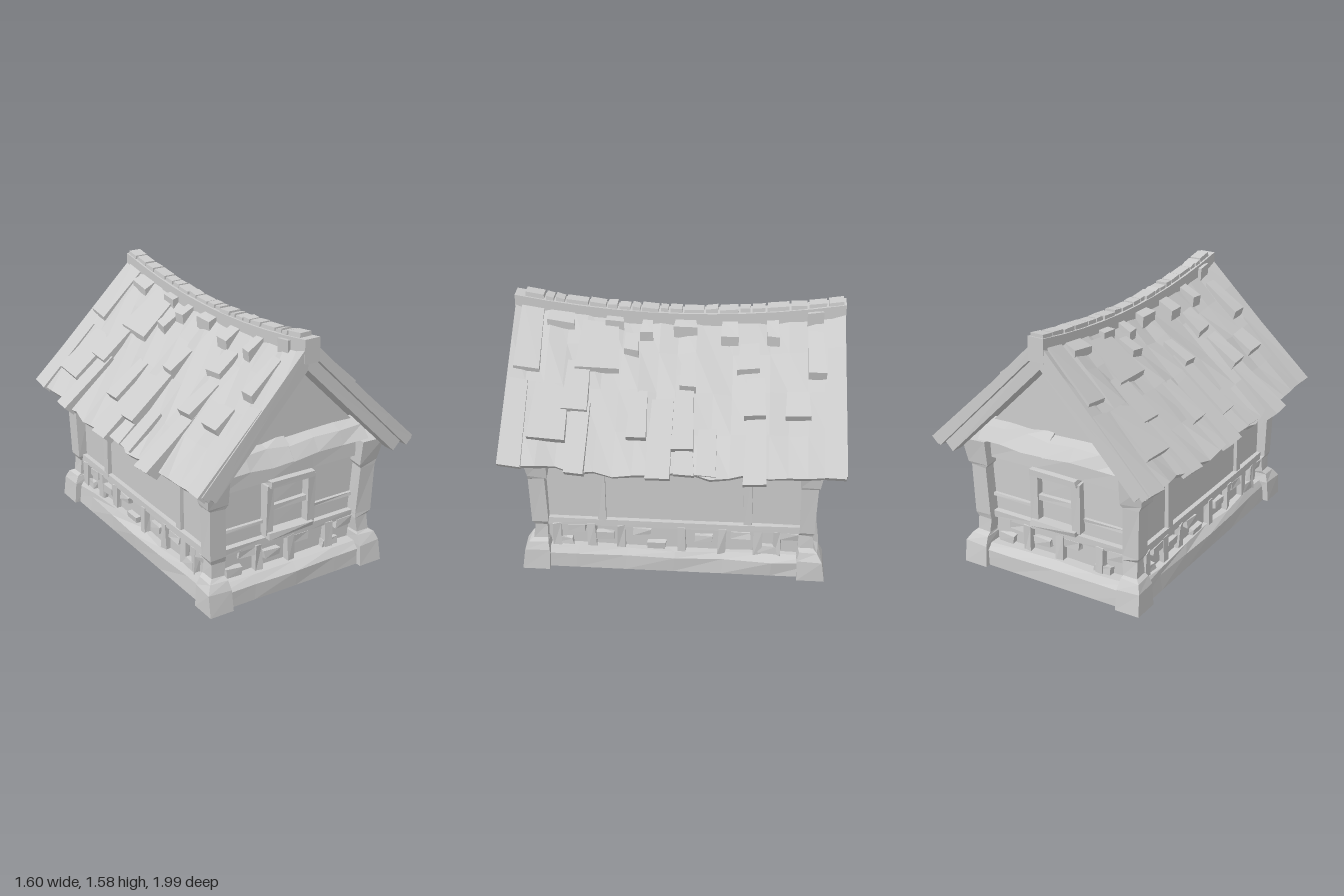
import * as THREE from 'three';

const mat = new THREE.MeshStandardMaterial({ color: 0xcccccc, flatShading: true });

// repeatable wobble in -0.5..0.5, equal for equal positions
function wobble(x, y, z) {
  const s = Math.sin(x * 127.1 + y * 311.7 + z * 74.7 + 3.1) * 43758.5453;
  return s - Math.floor(s) - 0.5;
}

// segmented unit box whose corners (each 0..1) are placed by a rule
function shaped(parent, name, segs, rule) {
  const box = new THREE.BoxGeometry(1, 1, 1, ...segs);
  const p = box.attributes.position;
  for (let i = 0; i < p.count; i++) {
    p.setXYZ(i, ...rule(p.getX(i) + 0.5, p.getY(i) + 0.5, p.getZ(i) + 0.5));
  }
  const geo = box.toNonIndexed();
  geo.computeVertexNormals();
  const mesh = new THREE.Mesh(geo, mat);
  mesh.name = name;
  parent.add(mesh);
  return mesh;
}

const mix = THREE.MathUtils.lerp;

// hewn block between two corners
function block(parent, name, x0, x1, y0, y1, z0, z1, rough = 0.01, segs = [1, 1, 1]) {
  return shaped(parent, name, segs, (a, b, c) => {
    const x = mix(x0, x1, a), y = mix(y0, y1, b), z = mix(z0, z1, c);
    return [x + rough * wobble(x, y, z), y + rough * wobble(y, z, x), z + rough * wobble(z, x, y)];
  });
}

// point on the sagging right slope: u from ridge to eave, h above the surface
function slope(u, h, z) {
  const ridgeY = 1.45 + 0.085 * z * z;
  const eaveY = 0.785 + 0.02 * z * z;
  return [0.72 * u + h * 0.715 * u, mix(ridgeY, eaveY, u) + h * mix(1.4, 0.7, u), z * (0.96 + 0.035 * u)];
}

// corner post outline: height, outer x, outer z, inner x, inner z
const postRings = [
  [0, 0.61, 0.91, 0.455, 0.745], [0.13, 0.605, 0.895, 0.46, 0.74], [0.185, 0.585, 0.865, 0.465, 0.75],
  [0.2, 0.555, 0.84, 0.465, 0.75], [0.29, 0.548, 0.832, 0.46, 0.75], [0.32, 0.565, 0.84, 0.46, 0.75],
  [0.63, 0.575, 0.845, 0.475, 0.75], [0.655, 0.59, 0.855, 0.46, 0.74], [0.8, 0.615, 0.875, 0.46, 0.73],
];

function cornerPost(parent, zSign) {
  const n = postRings.length - 1;
  shaped(parent, 'cornerPost', [1, n, 1], (a, b, c) => {
    const [y, xo, zo, xi, zi] = postRings[Math.round(b * n)];
    const x = mix(xi, xo, a);
    const z = zSign > 0 ? mix(zi, zo, c) : -mix(zo, zi, c);
    const k = y > 0 ? 0.012 : 0;
    return [x + k * wobble(x, y, z), y + k * wobble(z, y, x), z + k * wobble(y, x, z)];
  });
}

// front wall timbers, window and stones
function frontWall(parent) {
  const g = new THREE.Group();
  g.name = 'endWall';
  parent.add(g);
  block(g, 'topBeam', -0.48, 0.48, 0.69, 0.82, 0.75, 0.805, 0.008, [3, 1, 1]);
  block(g, 'lowerRail', -0.48, 0.48, 0.29, 0.335, 0.75, 0.8, 0.006, [3, 1, 1]);
  for (const s of [-1, 1]) {
    block(g, 'midRail', s * 0.32 - 0.15, s * 0.32 + 0.15, 0.425, 0.445, 0.75, 0.785, 0.005);
  }
  // rough ledge beam below the gable, leaning inwards
  for (const [x0, x1, top] of [[-0.49, -0.03, 0.93], [-0.04, 0.49, 0.925]]) {
    shaped(g, 'gableBeam', [3, 1, 1], (a, b, c) => {
      const x = mix(x0, x1, a);
      const y = b ? top - 0.035 * c + 0.025 * wobble(x, 1, c) : 0.82 + 0.015 * wobble(x, 0, c);
      return [x, y, c ? (b ? 0.825 : 0.88) + 0.02 * wobble(x, b, 2) : 0.74];
    });
  }
  // window
  for (const x of [-0.15, 0.135]) block(g, 'windowSide', x - 0.025, x + 0.025, 0.36, 0.67, 0.75, 0.82, 0.015);
  block(g, 'windowHead', -0.16, 0.15, 0.655, 0.695, 0.75, 0.84, 0.012);
  block(g, 'windowSill', -0.17, 0.145, 0.335, 0.37, 0.75, 0.84, 0.012);
  block(g, 'windowCrossbar', -0.13, 0.115, 0.5, 0.53, 0.75, 0.805, 0.008);
  for (const y of [0.44, 0.585]) block(g, 'windowPane', -0.115, 0.105, y - 0.06, y + 0.06, 0.75, 0.778, 0.006);
  // short studs and stones
  for (const x of [-0.22, 0.015, 0.29]) block(g, 'stud', x - 0.025, x + 0.025, 0.12, 0.3, 0.75, 0.81, 0.015);
  for (const [x, y] of [[-0.29, 0.27], [-0.12, 0.22], [0.09, 0.26], [0.4, 0.27], [-0.38, 0.17], [0.3, 0.16]]) {
    block(g, 'stone', x - 0.055, x + 0.055, y - 0.024, y + 0.024, 0.75, 0.8, 0.015);
  }
}

// long wall timbers and stones
function sideWall(parent) {
  const g = new THREE.Group();
  g.name = 'longWall';
  parent.add(g);
  block(g, 'topBeam', 0.49, 0.545, 0.69, 0.8, -0.77, 0.77, 0.008, [1, 1, 4]);
  block(g, 'lowerRail', 0.49, 0.54, 0.29, 0.335, -0.77, 0.77, 0.006, [1, 1, 4]);
  for (const z of [0.43, -0.44]) block(g, 'wallPost', 0.49, 0.535, 0.3, 0.72, z - 0.025, z + 0.025, 0.008);
  for (const z of [0.7, 0.49, 0.31, -0.05, -0.29, -0.5, -0.62]) {
    block(g, 'stud', 0.49, 0.545, 0.12, 0.3, z - 0.025, z + 0.025, 0.015);
  }
  const stones = [[0.58, 0.265], [0.66, 0.165], [0.41, 0.22], [0.19, 0.26], [0.1, 0.16],
    [-0.18, 0.22], [-0.4, 0.26], [-0.56, 0.165], [-0.69, 0.265]];
  for (const [z, y] of stones) block(g, 'stone', 0.49, 0.54, y - 0.023, y + 0.023, z - 0.055, z + 0.055, 0.015);
}

// tiles: centre z, width, upper u, lower u, thickness
const tiles = [
  [0.89, 0.16, 0.02, 0.44, 0.03], [0.71, 0.17, 0.06, 0.16, 0.045], [0.73, 0.23, 0.5, 0.84, 0.045],
  [0.58, 0.15, 0.35, 0.65, 0.04], [0.47, 0.26, 0.1, 0.4, 0.035], [0.39, 0.12, 0.05, 0.13, 0.045],
  [0.28, 0.09, 0.16, 0.29, 0.045], [0.19, 0.08, 0.06, 0.18, 0.045], [0.21, 0.12, 0.5, 0.8, 0.045],
  [-0.04, 0.15, 0.04, 0.15, 0.05], [-0.06, 0.12, 0.4, 0.85, 0.05], [-0.07, 0.1, 0.3, 0.5, 0.055],
  [-0.31, 0.1, 0.06, 0.19, 0.045], [-0.57, 0.08, 0.06, 0.2, 0.045], [-0.43, 0.14, 0.2, 0.38, 0.035],
  [-0.47, 0.12, 0.42, 0.66, 0.06], [-0.72, 0.15, 0.5, 0.66, 0.045], [-0.82, 0.1, 0.02, 0.1, 0.06],
  [-0.83, 0.1, 0.15, 0.42, 0.05], [0.93, 0.13, 0.5, 1.0, 0.025], [0.55, 0.12, 0.6, 1.02, 0.05],
  [0.07, 0.14, 0.55, 1.02, 0.04], [-0.2, 0.12, 0.72, 1.0, 0.03], [-0.48, 0.13, 0.62, 1.04, 0.06],
  [-0.93, 0.13, 0.45, 1.0, 0.03], [-0.07, 0.12, 0.85, 1.0, 0.03],
];

function roofSide(parent) {
  const g = new THREE.Group();
  g.name = 'roofSide';
  parent.add(g);
  shaped(g, 'roofSlab', [4, 1, 18], (a, b, c) => {
    const z = mix(-1, 1, c);
    const end = c === 0 || c === 1;
    const u = a === 1 ? 1 + 0.05 * wobble(a, 2, z) : a;
    const h = b ? (end ? 0.012 : 0.03 * wobble(a, 1, z) + 0.005) : -0.045;
    return slope(u, h, z);
  });
  for (const [z, w, u0, u1, t] of tiles) {
    shaped(g, 'roofTile', [1, 1, 1], (a, b, c) => {
      const zz = z + (c - 0.5) * w * mix(0.85, 1, a) + 0.012 * wobble(a, z, c);
      return slope(mix(u0, u1, a) + 0.015 * wobble(c, z, a), b ? mix(0.015, t, a) : -0.03, zz);
    });
  }
  // sloping gable boards at both ends
  for (const z of [0.93, -0.93]) {
    shaped(g, 'gableBoard', [1, 1, 1], (a, b, c) => slope(a * 0.96, b ? -0.035 : -0.115, z + (c - 0.5) * 0.08));
  }
}

function ridge(parent) {
  const g = new THREE.Group();
  g.name = 'ridge';
  parent.add(g);
  shaped(g, 'ridgeBeam', [1, 1, 10], (a, b, c) => {
    const z = mix(-0.965, 0.965, c);
    return [mix(-0.05, 0.05, a), b ? 1.475 + 0.095 * z * z : 1.37 + 0.055 * z * z, z];
  });
  // cap stones of varying length
  let z0 = -0.95;
  for (let i = 0; z0 < 0.9; i++) {
    const z1 = Math.min(z0 + 0.1 + 0.09 * wobble(i, 1, 5), 0.96);
    const start = z0, w = 0.042 + 0.012 * wobble(i, 3, 2);
    shaped(g, 'ridgeStone', [1, 1, 1], (a, b, c) => {
      const z = mix(start, z1 - 0.012, c);
      const top = 1.498 + 0.095 * z * z + 0.012 * wobble(i, c, 4);
      return [(a * 2 - 1) * w * (b ? 0.85 : 1), b ? top : 1.44 + 0.09 * z * z, z];
    });
    z0 = z1;
  }
}

export function createModel() {
  const model = new THREE.Group();
  model.name = 'house';

  // solid core with gables
  const profile = new THREE.Shape([[-0.51, 0.02], [0.51, 0.02], [0.51, 0.86], [0, 1.37], [-0.51, 0.86]]
    .map(([x, y]) => new THREE.Vector2(x, y)));
  const core = new THREE.ExtrudeGeometry(profile, { depth: 1.53, bevelEnabled: false });
  core.translate(0, 0, -0.765);
  const walls = new THREE.Mesh(core, mat);
  walls.name = 'walls';
  model.add(walls);

  // rough stone plinth
  shaped(model, 'foundation', [4, 2, 6], (a, b, c) => {
    const k = b === 1 ? 0.955 : 1;
    const x = mix(-0.575, 0.575, a) * k, z = mix(-0.875, 0.875, c) * k;
    const r = b > 0 ? 0.025 : 0;
    return [x + r * wobble(x, b, z), [0, 0.1, 0.14][Math.round(b * 2)] + (b === 1 ? 0.015 * wobble(z, 1, x) : 0), z + r * wobble(z, b, x)];
  });

  // half a house, repeated by a half turn
  for (const turn of [0, Math.PI]) {
    const half = new THREE.Group();
    half.name = turn ? 'backHalf' : 'frontHalf';
    half.rotation.y = turn;
    frontWall(half);
    sideWall(half);
    cornerPost(half, 1);
    cornerPost(half, -1);
    roofSide(half);
    model.add(half);
  }
  ridge(model);
  return model;
}
